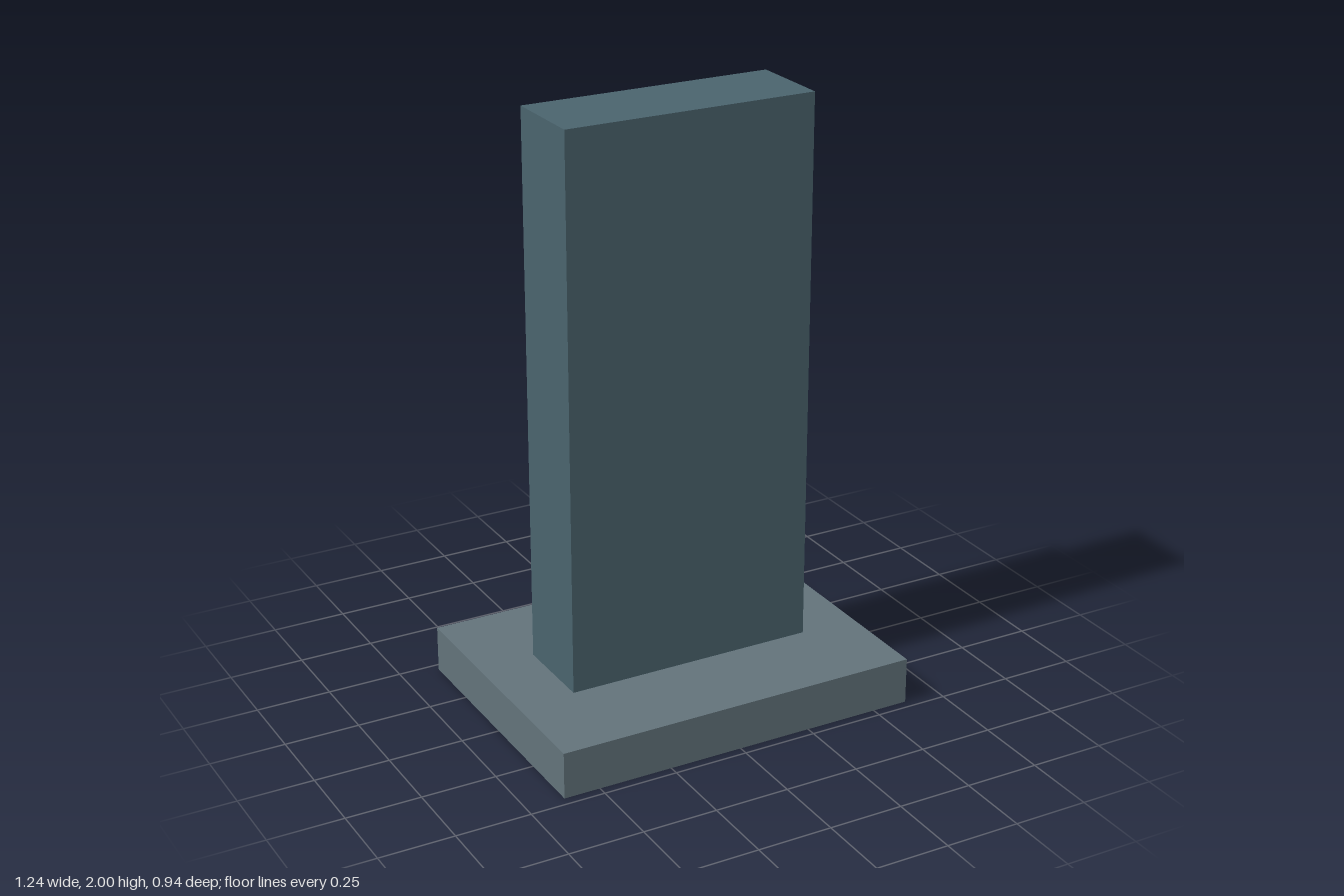
import * as THREE from 'three';

// Box given by its size, bottom height and z centre
function addBox(group, name, color, [w, h, d], bottom, z = 0) {
  const mesh = new THREE.Mesh(
    new THREE.BoxGeometry(w, h, d),
    new THREE.MeshStandardMaterial({ color })
  );
  mesh.name = name;
  mesh.position.set(0, bottom + h / 2, z);
  group.add(mesh);
}

export function createModel() {
  const group = new THREE.Group();
  group.name = 'kiosk';

  // Wide foot plate
  addBox(group, 'base', 0x62727a, [1.244, 0.156, 0.936], 0);
  // Upright slab
  addBox(group, 'pillar', 0x4a636d, [0.85, 1.844, 0.29], 0.156);
  // Raised display panel on the back face
  addBox(group, 'screen', 0x8ccbde, [0.702, 0.954, 0.06], 0.724, -0.157);

  return group;
}
